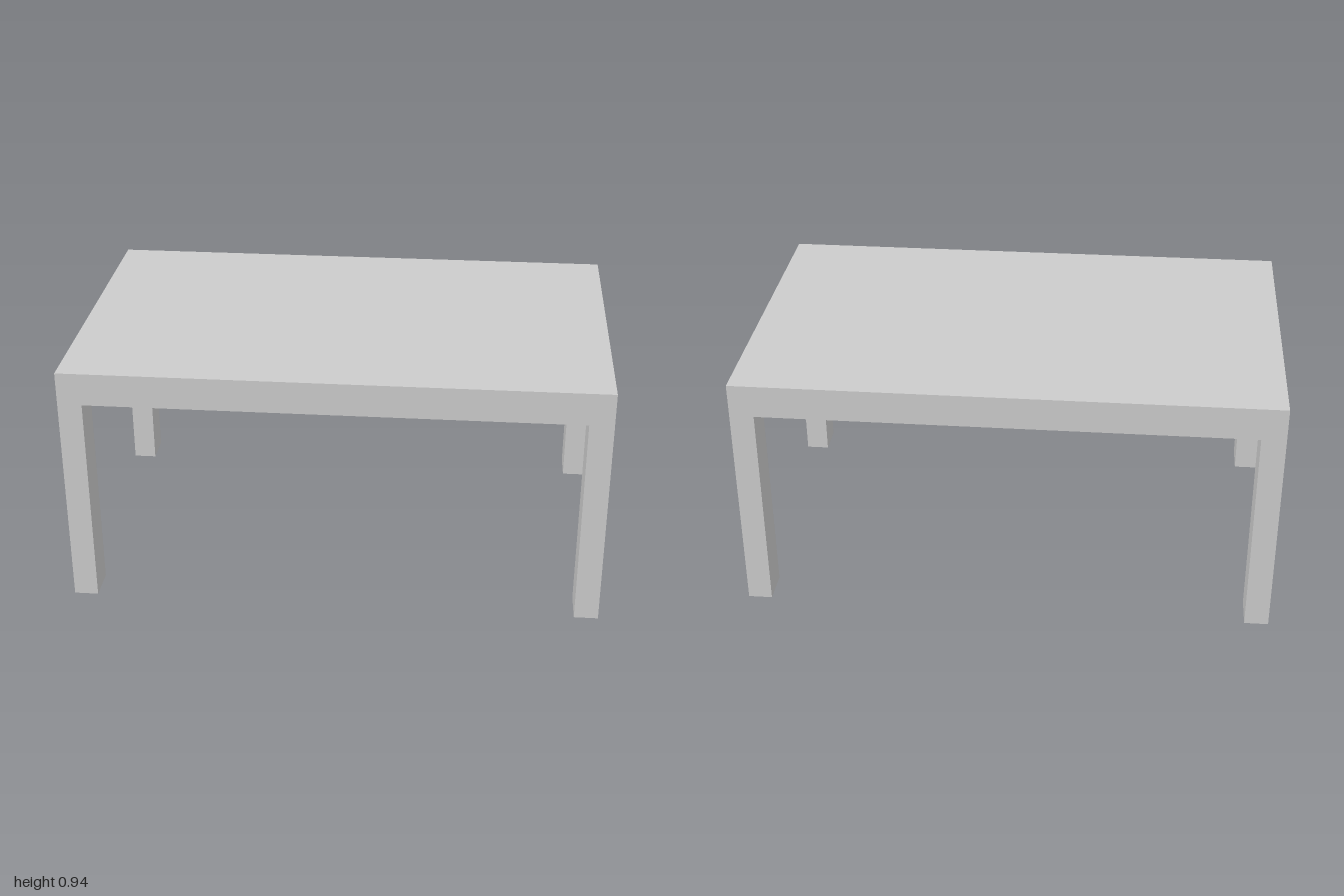
import * as THREE from 'three';

const WIDTH = 2, DEPTH = 1.245, HEIGHT = 0.936;
const TOP_THICKNESS = 0.124;
const LEG_X = 0.09, LEG_Z = 0.131;

export function createModel() {
  const table = new THREE.Group();
  table.name = 'table';
  const material = new THREE.MeshStandardMaterial({ color: 0xcccccc });

  const addBox = (name, size, position) => {
    const mesh = new THREE.Mesh(new THREE.BoxGeometry(...size), material);
    mesh.name = name;
    mesh.position.set(...position);
    table.add(mesh);
  };

  // Thick solid top
  addBox('tableTop', [WIDTH, TOP_THICKNESS, DEPTH], [0, HEIGHT - TOP_THICKNESS / 2, 0]);

  // Four rectangular legs, flush with the corners of the top
  const legHeight = HEIGHT - TOP_THICKNESS;
  for (const [xName, sx] of [['Left', 1], ['Right', -1]]) {
    for (const [zName, sz] of [['front', 1], ['back', -1]]) {
      addBox(`${zName}${xName}Leg`, [LEG_X, legHeight, LEG_Z],
        [sx * (WIDTH - LEG_X) / 2, legHeight / 2, sz * (DEPTH - LEG_Z) / 2]);
    }
  }
  return table;
}
